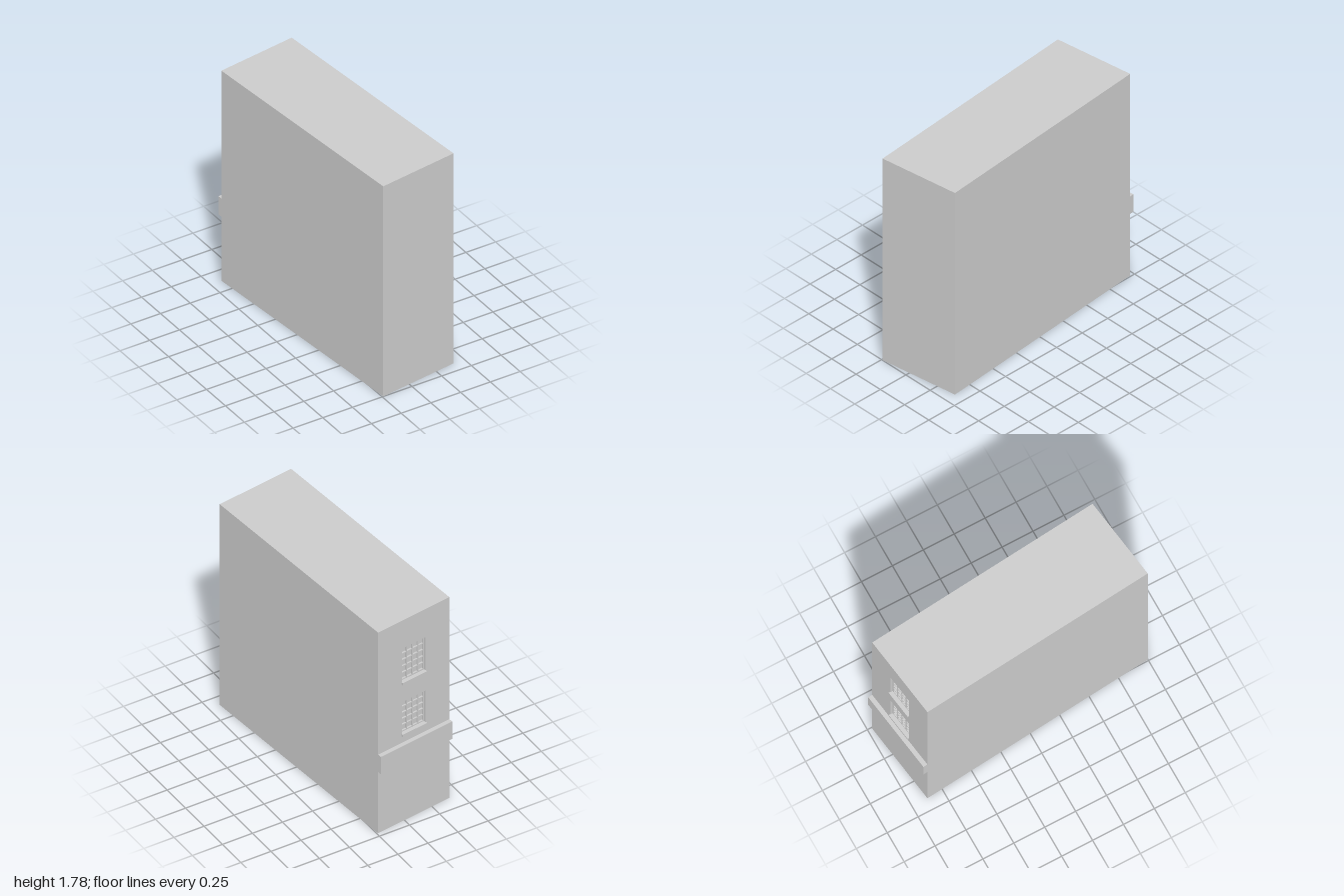
import * as THREE from 'three';

const W = 0.656, H = 1.785, D = 1.8815, RECESS = 0.03;
const OPENING_W = 0.216;
const OPENINGS = [[0.78, 1.06], [1.24, 1.535]]; // bottom and top heights

// Skewed plan: x runs along the back wall, z runs outwards along the side walls.
const PLAN = new THREE.Matrix4().makeBasis(
  new THREE.Vector3(-0.65, 0, 0.091).normalize(),
  new THREE.Vector3(0, 1, 0),
  new THREE.Vector3(-0.168, 0, -1.874).normalize()
).setPosition(-0.084, 0, -0.9205);

const material = new THREE.MeshStandardMaterial({ color: 0xcccccc, flatShading: true });

function addPart(parent, name, geometry) {
  const mesh = new THREE.Mesh(geometry.applyMatrix4(PLAN), material);
  mesh.name = name;
  parent.add(mesh);
}

// Box given by its centre in x, and its ranges in y and z
function addBox(parent, name, x, width, y0, y1, z0, z1) {
  const geometry = new THREE.BoxGeometry(width, y1 - y0, z1 - z0);
  geometry.translate(x, (y0 + y1) / 2, (z0 + z1) / 2);
  addPart(parent, name, geometry);
}

function rectangle(Type, x0, x1, y0, y1) {
  return new Type([[x0, y0], [x1, y0], [x1, y1], [x0, y1]].map(p => new THREE.Vector2(...p)));
}

function createWindow(y0, y1) {
  const sashWindow = new THREE.Group();
  sashWindow.name = 'window';
  const columns = 4, rows = 5, bar = 0.007, frame = 0.01;
  const back = -RECESS, front = -RECESS + 0.014;

  // frame edges and glazing bars
  for (let i = 0; i <= columns; i++) {
    const edge = i === 0 || i === columns;
    const t = edge ? frame : bar;
    const x = (i / columns - 0.5) * (OPENING_W - frame);
    addBox(sashWindow, edge ? 'frameSide' : 'verticalBar', x, t, y0, y1, back, front);
  }
  for (let j = 0; j <= rows; j++) {
    const edge = j === 0 || j === rows;
    const t = edge ? frame : bar;
    const y = y0 + frame / 2 + (j / rows) * (y1 - y0 - frame);
    addBox(sashWindow, edge ? 'frameRail' : 'horizontalBar', 0, OPENING_W, y - t / 2, y + t / 2, back, front - 0.001);
  }

  // projecting sill
  addBox(sashWindow, 'sill', 0, OPENING_W + 0.008, y0 - 0.021, y0, -RECESS, 0.015);
  return sashWindow;
}

export function createModel() {
  const building = new THREE.Group();
  building.name = 'building';

  // main block, its end face forming the window panes
  addBox(building, 'mainBlock', 0, W, 0, H, -D, -RECESS);

  // facade skin with window openings
  const facade = rectangle(THREE.Shape, -W / 2, W / 2, 0, H);
  for (const [y0, y1] of OPENINGS) {
    facade.holes.push(rectangle(THREE.Path, -OPENING_W / 2, OPENING_W / 2, y0, y1));
  }
  const skin = new THREE.ExtrudeGeometry(facade, { depth: RECESS, bevelEnabled: false });
  addPart(building, 'facade', skin.translate(0, 0, -RECESS));

  for (const [y0, y1] of OPENINGS) building.add(createWindow(y0, y1));

  // fascia band above the ground floor
  addBox(building, 'fascia', 0, W, 0.545, 0.7, 0, 0.034);

  return building;
}
